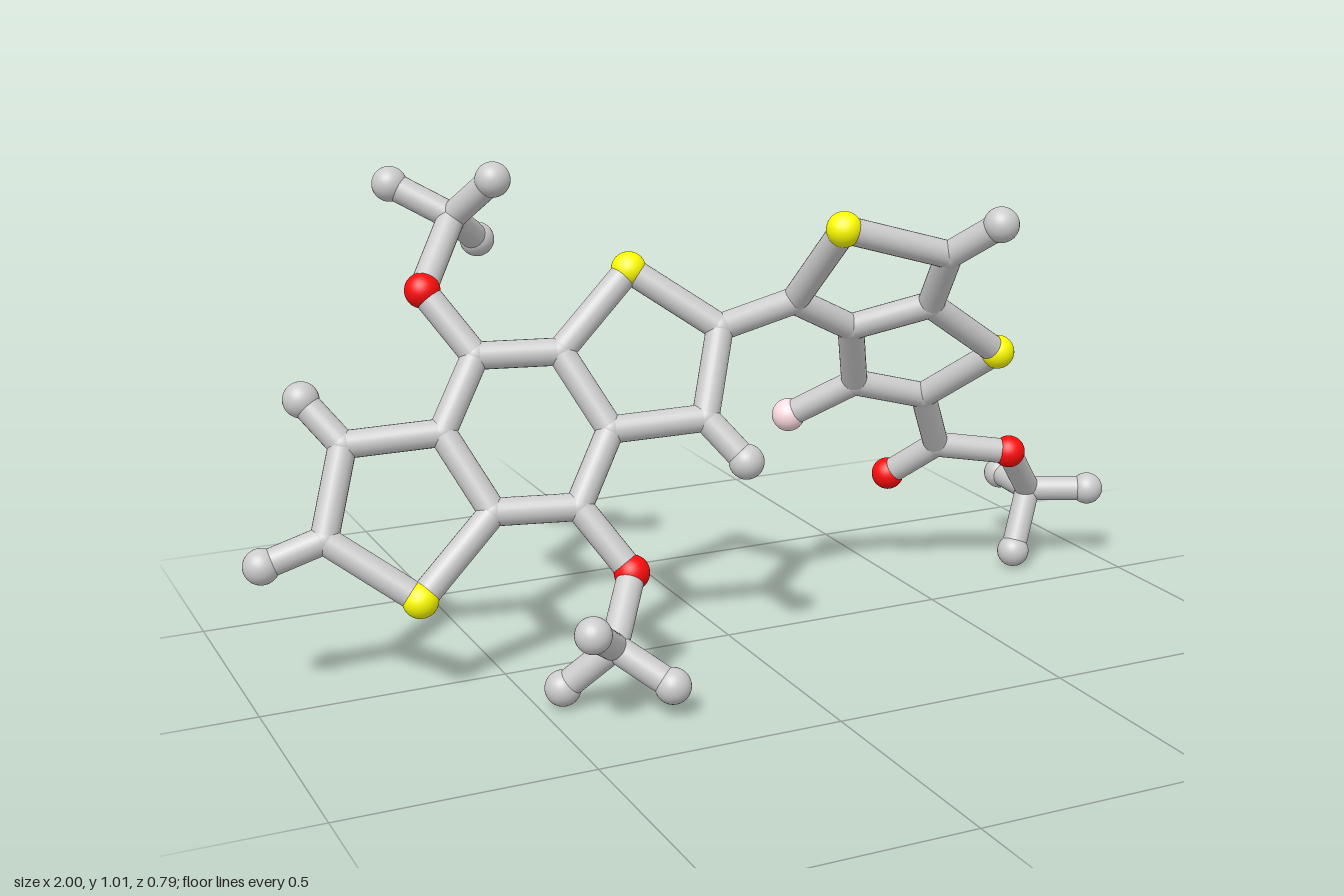
import * as THREE from 'three';

const BOND_R = 0.028, BALL_R = 0.036;
const MATERIALS = {
  carbon: new THREE.MeshStandardMaterial({ color: 0xcccccc }),
  hydrogen: new THREE.MeshStandardMaterial({ color: 0xcccccc }),
  sulfur: new THREE.MeshStandardMaterial({ color: 0xffff00 }),
  oxygen: new THREE.MeshStandardMaterial({ color: 0xff0d0d }),
  fluorine: new THREE.MeshStandardMaterial({ color: 0xffdde2 }),
};
const KINDS = { C: 'carbon', H: 'hydrogen', S: 'sulfur', O: 'oxygen', F: 'fluorine' };

// Half of the flat three-ring core, as offsets from its centre; the other half is its inversion
const CORE_CENTRE = [-0.437, 0.502, -0.01];
const coreHalf = {
  S1: [0.252, 0.291, -0.071],
  C2: [0.41, 0.175, 0.026],
  C3: [0.348, 0.008, 0.089],
  C4: [0.16, -0.005, 0.045],
  C5: [0.09, 0.143, -0.043],
  C6: [-0.073, 0.142, -0.086],
  O7: [-0.152, 0.266, -0.165],
  H8: [0.41, -0.075, 0.151],
};
const coreBonds = ['S1 C2', 'C2 C3', 'C3 C4', 'C4 C5', 'C5 S1', 'C5 C6', 'C6 O7', 'C3 H8'];

// Remaining atoms, named by element letter first
const atoms = {
  // End of the core
  Hend: [-0.967, 0.285, -0.055],
  // Upper methoxy group
  Cu: [-0.49, 0.893, -0.276], Hu1: [-0.598, 0.957, -0.343], Hu2: [-0.43, 0.976, -0.192], Hu3: [-0.41, 0.826, -0.36],
  // Lower methoxy group
  Cl: [-0.367, 0.13, 0.258], Hl1: [-0.449, 0.202, 0.357], Hl2: [-0.454, 0.041, 0.205], Hl3: [-0.278, 0.063, 0.336],
  // Pair of fused five-sided rings
  Ca: [0.139, 0.718, 0.022], Sb: [0.166, 0.89, 0.181], Cc: [0.387, 0.827, 0.217], Cd: [0.408, 0.702, 0.114],
  Ce: [0.279, 0.646, 0.009], Sf: [0.588, 0.579, 0.094], Cg: [0.502, 0.456, -0.063], Ch: [0.343, 0.497, -0.087],
  Hc: [0.449, 0.898, 0.308], Fh: [0.235, 0.412, -0.188],
  // Ester tail
  Ci: [0.582, 0.315, -0.135], Oj: [0.513, 0.23, -0.23], Ok: [0.742, 0.292, -0.082],
  Cm: [0.844, 0.171, -0.153], Hm1: [0.786, 0.038, -0.117], Hm2: [0.963, 0.174, -0.087], Hm3: [0.85, 0.173, -0.283],
};
const bonds = [
  'C4 C6i', 'C4i C6', 'C2i Hend', 'C2 Ca',
  'O7 Cu', 'Cu Hu1', 'Cu Hu2', 'Cu Hu3',
  'O7i Cl', 'Cl Hl1', 'Cl Hl2', 'Cl Hl3',
  'Ca Sb', 'Sb Cc', 'Cc Cd', 'Cd Ce', 'Ce Ca', 'Cd Sf', 'Sf Cg', 'Cg Ch', 'Ch Ce', 'Cc Hc', 'Ch Fh',
  'Cg Ci', 'Ci Oj', 'Ci Ok', 'Ok Cm', 'Cm Hm1', 'Cm Hm2', 'Cm Hm3',
];

export function createModel() {
  const model = new THREE.Group();
  model.name = 'molecule';
  const points = {};
  const allBonds = [...bonds];

  for (const [name, p] of Object.entries(atoms)) points[name] = new THREE.Vector3(...p);

  // Core and its inverted copy (suffix i)
  const centre = new THREE.Vector3(...CORE_CENTRE);
  for (const [sign, suffix] of [[1, ''], [-1, 'i']]) {
    for (const [name, p] of Object.entries(coreHalf)) {
      points[name + suffix] = new THREE.Vector3(...p).multiplyScalar(sign).add(centre);
    }
    for (const b of coreBonds) allBonds.push(b.split(' ').map((n) => n + suffix).join(' '));
  }

  // Atoms: carbons only round off the joints, the others are full balls
  const joint = new THREE.SphereGeometry(BOND_R * 1.04, 24, 16);
  const ball = new THREE.SphereGeometry(BALL_R, 32, 20);
  for (const [name, p] of Object.entries(points)) {
    const kind = KINDS[name[0]];
    const mesh = new THREE.Mesh(kind === 'carbon' ? joint : ball, MATERIALS[kind]);
    mesh.name = kind + 'Atom';
    mesh.position.copy(p);
    model.add(mesh);
  }

  // Bonds: open rods between atom centres
  const rod = new THREE.CylinderGeometry(BOND_R, BOND_R, 1, 24, 1, true);
  const up = new THREE.Vector3(0, 1, 0);
  for (const b of allBonds) {
    const [from, to] = b.split(' ').map((n) => points[n]);
    const dir = to.clone().sub(from);
    const mesh = new THREE.Mesh(rod, MATERIALS.carbon);
    mesh.name = 'bond';
    mesh.position.copy(from).addScaledVector(dir, 0.5);
    mesh.scale.y = dir.length();
    mesh.quaternion.setFromUnitVectors(up, dir.normalize());
    model.add(mesh);
  }
  return model;
}
